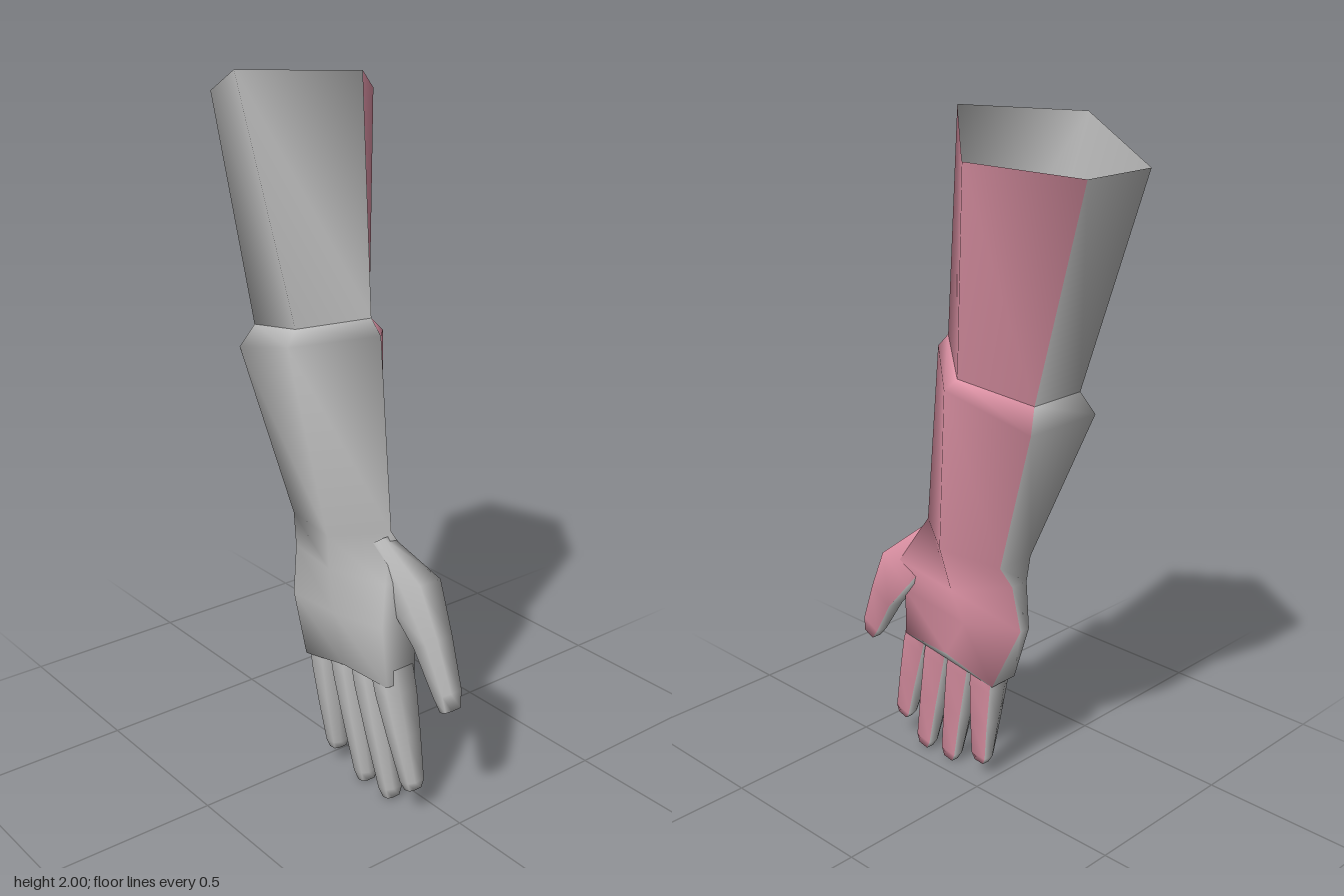
import * as THREE from 'three';
import { mergeVertices } from 'three/addons/utils/BufferGeometryUtils.js';

const pink = new THREE.MeshStandardMaterial({ color: 0xe094a7, side: THREE.DoubleSide });
pink.name = 'pink';
const grey = new THREE.MeshStandardMaterial({ color: 0xbdbdbd, side: THREE.DoubleSide });
grey.name = 'grey';

// Skin a stack of rings (top to bottom); the listed columns are pink, the rest grey
function loft(name, rings, pinkColumns, capEnd) {
  const n = rings[0].length;
  const faces = [[], []];
  for (let i = 0; i < rings.length - 1; i++) {
    for (let j = 0; j < n; j++) {
      const a = i * n + j, b = i * n + (j + 1) % n;
      const d = a + n, c = b + n;
      faces[pinkColumns.includes(j) ? 0 : 1].push(a, d, c, a, c, b);
    }
  }
  if (capEnd) {
    const s = (rings.length - 1) * n;
    for (let j = 1; j < n - 1; j++) faces[1].push(s, s + j + 1, s + j);
  }
  let geo = new THREE.BufferGeometry();
  geo.setAttribute('position', new THREE.Float32BufferAttribute(rings.flat(2), 3));
  geo.setIndex([...faces[0], ...faces[1]]);
  geo.addGroup(0, faces[0].length, 0);
  geo.addGroup(faces[0].length, faces[1].length, 1);
  geo = mergeVertices(geo);
  geo.computeVertexNormals();
  const mesh = new THREE.Mesh(geo, [pink, grey]);
  mesh.name = name;
  return mesh;
}

// Digit section, flat on the palm side (+x) and rounded on the back: [x, width]
const SECTION = [[-0.3, 1], [1, 0.95], [1, -0.95], [-0.3, -1], [-1, -0.6], [-1, 0.6]];

// Each station is [x, y, z, half thickness, half width]
function digit(name, stations) {
  const rings = stations.map(([x, y, z, hx, hw], i) => {
    const p = stations[Math.max(i - 1, 0)];
    const q = stations[Math.min(i + 1, stations.length - 1)];
    const dy = q[1] - p[1], dz = q[2] - p[2], len = Math.hypot(dy, dz);
    const wy = dz / len, wz = -dy / len;
    return SECTION.map(([sx, sw]) => [x + sx * hx, y + sw * hw * wy, z + sw * hw * wz]);
  });
  return loft(name, rings, [1], true);
}

export function createModel() {
  const group = new THREE.Group();
  group.name = 'glovedArm';

  // Sleeve: open five-sided tube, order front, +x side, two back corners, -x side
  const lip = [[-0.035, 1.375, 0.145], [0.085, 1.305, -0.01], [0.06, 1.28, -0.265],
    [-0.12, 1.28, -0.265], [-0.152, 1.325, -0.03]];
  const sleeveTop = [[-0.03, 2, 0.1], [0.225, 1.91, -0.17], [0.14, 1.895, -0.49],
    [-0.095, 1.895, -0.49], [-0.225, 1.99, -0.18]];
  group.add(loft('sleeve', [sleeveTop, lip], [0, 1], false));

  // Cuff, wrist and palm: the front corner splits into an edge below the wrist
  const split = (ring) => [...ring, ring[0]];
  group.add(loft('gloveBody', [
    split(lip),
    split([[-0.035, 1.335, 0.185], [0.125, 1.28, 0], [0.1, 1.215, -0.29],
      [-0.155, 1.215, -0.29], [-0.2, 1.29, 0]]),
    split([[-0.035, 0.8, 0.235], [0.05, 0.77, 0.1], [0.015, 0.76, -0.105],
      [-0.11, 0.76, -0.105], [-0.148, 0.77, 0.1]]),
    [[0.03, 0.67, 0.29], [0.045, 0.65, 0.06], [-0.06, 0.67, -0.082],
      [-0.12, 0.67, -0.082], [-0.143, 0.67, 0.1], [-0.1, 0.68, 0.29]],
    [[0.0, 0.56, 0.3], [0.015, 0.54, 0.04], [-0.09, 0.52, -0.088],
      [-0.126, 0.52, -0.088], [-0.138, 0.54, 0.11], [-0.118, 0.56, 0.3]],
    [[-0.026, 0.395, 0.33], [-0.022, 0.39, 0.15], [-0.026, 0.345, -0.036],
      [-0.122, 0.345, -0.036], [-0.13, 0.39, 0.15], [-0.124, 0.395, 0.33]],
  ], [0, 1], true));

  // Thumb
  group.add(digit('thumb', [
    [-0.055, 0.76, 0.2, 0.022, 0.045],
    [-0.014, 0.64, 0.298, 0.058, 0.068],
    [-0.014, 0.52, 0.382, 0.042, 0.046],
    [-0.018, 0.395, 0.45, 0.03, 0.034],
    [-0.02, 0.353, 0.468, 0.024, 0.02],
  ]));

  // Four fingers: base z, base y, tip z, tip y
  const fingers = {
    indexFinger: [0.284, 0.425, 0.377, 0.08],
    middleFinger: [0.194, 0.425, 0.284, 0.008],
    ringFinger: [0.1, 0.42, 0.173, 0.008],
    littleFinger: [0.01, 0.39, 0.04, 0.052],
  };
  // Along the finger: fraction, half thickness, half width
  const taper = [[0, 0.048, 0.043], [0.2, 0.047, 0.043], [0.55, 0.038, 0.036],
    [0.93, 0.025, 0.029], [1, 0.019, 0.018]];
  for (const [name, [z0, y0, z1, y1]] of Object.entries(fingers)) {
    group.add(digit(name, taper.map(([t, hx, hw]) => [
      -0.076 + 0.008 * t, y0 + (y1 - y0) * t, z0 + (z1 - z0) * t, hx, hw])));
  }
  return group;
}
